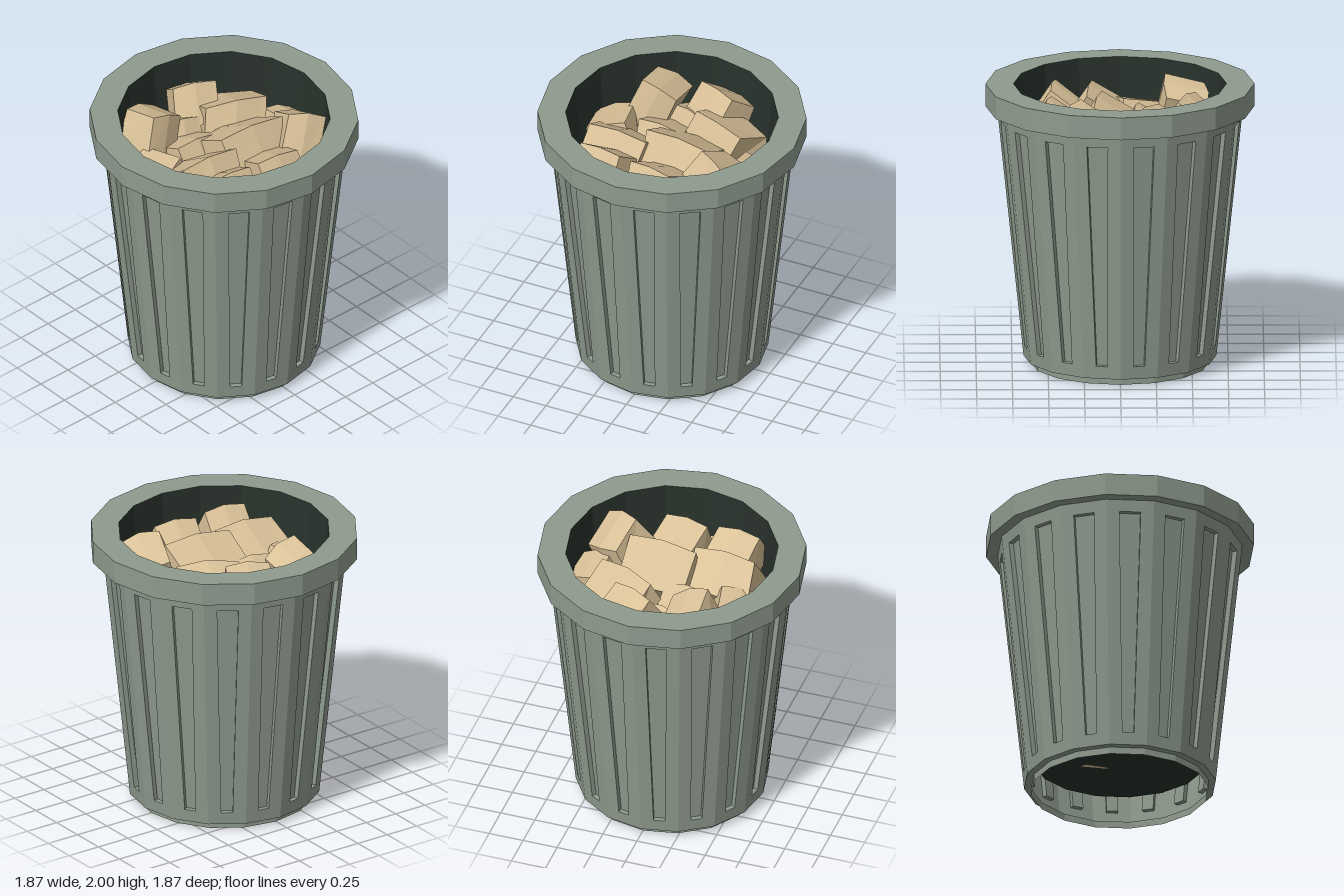
import * as THREE from 'three';

const SIDES = 16;
const STEP = (Math.PI * 2) / SIDES;

// Flat-shaded revolved profile with 16 sides
function faceted(name, points, material) {
  const geo = new THREE.LatheGeometry(points.map(([r, y]) => new THREE.Vector2(r, y)), SIDES).toNonIndexed();
  geo.computeVertexNormals();
  const mesh = new THREE.Mesh(geo, material);
  mesh.name = name;
  return mesh;
}

// Tapered wall: every side is a panel with a recessed, narrowing groove
function grooveWall(material) {
  const y0 = 0.05, y1 = 1.84, r0 = 0.67, r1 = 0.855;
  const g0 = 0.14, g1 = 1.755, depth = 0.035;
  const radius = (y) => r0 + ((r1 - r0) * (y - y0)) / (y1 - y0);
  const pos = [];
  const quad = (a, b, c, d) => [a, b, c, a, c, d].forEach((p) => pos.push(p.x, p.y, p.z));

  for (let i = 0; i < SIDES; i++) {
    const mid = (i + 0.5) * STEP;
    // s: sideways offset on the panel, inset: distance in from its surface
    const at = (s, y, inset = 0) => {
      const a = radius(y) * Math.cos(STEP / 2) - inset;
      return new THREE.Vector3(
        a * Math.sin(mid) + s * Math.cos(mid), y, a * Math.cos(mid) - s * Math.sin(mid));
    };
    const half = (y) => radius(y) * Math.sin(STEP / 2);
    const outer = [at(-half(y0), y0), at(half(y0), y0), at(half(y1), y1), at(-half(y1), y1)];
    const corners = [[-0.04, g0], [0.04, g0], [0.074, g1], [-0.074, g1]];
    const edge = corners.map(([s, y]) => at(s, y));
    const floor = corners.map(([s, y]) => at(s, y, depth));
    for (let k = 0; k < 4; k++) {
      const n = (k + 1) % 4;
      quad(outer[k], outer[n], edge[n], edge[k]);
      quad(edge[k], edge[n], floor[n], floor[k]);
    }
    quad(...floor);
  }
  const geo = new THREE.BufferGeometry();
  geo.setAttribute('position', new THREE.Float32BufferAttribute(pos, 3));
  geo.computeVertexNormals();
  const mesh = new THREE.Mesh(geo, material);
  mesh.name = 'groovedWall';
  return mesh;
}

// Rough block: a box with one mid crease and its corners nudged by a rule
function chunk([x, y, z, w, h, d, rx, ry, rz], seed, material) {
  const geo = new THREE.BoxGeometry(1, 1, 1, 2, 1, 1).toNonIndexed();
  const p = geo.attributes.position;
  const nudge = (a, b, c, k) => Math.sin(a * 12.3 + b * 27.1 + c * 41.7 + seed * 5.3 + k * 2.1);
  for (let i = 0; i < p.count; i++) {
    const a = p.getX(i), b = p.getY(i), c = p.getZ(i);
    const swell = Math.abs(a) < 0.1 ? 1.1 : 0.97;
    p.setXYZ(i,
      (a + 0.07 * nudge(a, b, c, 0)) * w,
      (b * swell + 0.07 * nudge(a, b, c, 1)) * h,
      (c * swell + 0.07 * nudge(a, b, c, 2)) * d);
  }
  geo.computeVertexNormals();
  const mesh = new THREE.Mesh(geo, material);
  mesh.name = 'chunk';
  mesh.position.set(x, y, z);
  mesh.rotation.set(rx, ry, rz, 'YXZ');
  return mesh;
}

// Top layer: x, y, z, width, height, depth, tilt, turn, roll
const CHUNKS = [
  [0.12, 1.7, 0.1, 0.5, 0.32, 0.32, -0.65, -0.12, 0],
  [-0.34, 1.68, 0.17, 0.45, 0.32, 0.32, -0.65, -0.1, 0],
  [0.28, 1.68, -0.27, 0.45, 0.3, 0.36, -0.4, -0.4, 0],
  [0.14, 1.76, -0.49, 0.32, 0.26, 0.26, -0.5, -0.4, 0],
  [-0.31, 1.74, -0.43, 0.28, 0.32, 0.28, -0.1, 0.1, -0.4],
  [-0.48, 1.6, -0.12, 0.28, 0.28, 0.28, -0.2, 0.25, 0.3],
  [-0.14, 1.6, -0.16, 0.32, 0.28, 0.26, -0.6, -0.1, 0],
  [-0.05, 1.6, -0.43, 0.25, 0.25, 0.28, -0.6, -0.3, 0],
  [0.56, 1.6, 0.01, 0.24, 0.28, 0.28, -0.2, -0.15, -0.3],
  [0.44, 1.74, 0.26, 0.28, 0.34, 0.32, -0.4, -0.35, -0.3],
  [-0.32, 1.72, 0.43, 0.32, 0.26, 0.26, -0.5, -0.1, 0],
  [0.09, 1.7, 0.45, 0.32, 0.26, 0.26, -0.5, -0.15, 0],
  [-0.1, 1.5, 0.57, 0.28, 0.26, 0.23, -0.2, 0.05, 0],
];

export function createModel() {
  const canGreen = new THREE.MeshStandardMaterial({ color: 0x8f9b8e });
  const darkInside = new THREE.MeshStandardMaterial({ color: 0x28312b });
  const tan = new THREE.MeshStandardMaterial({ color: 0xd8c097 });
  canGreen.name = 'greyGreen';
  darkInside.name = 'darkGreen';
  tan.name = 'tan';
  canGreen.side = darkInside.side = THREE.DoubleSide;

  const model = new THREE.Group();
  model.name = 'bin';

  // Shell: open foot ring, grooved wall, overhanging rim
  model.add(faceted('footRing', [[0.62, 0], [0.62, 0.05], [0.67, 0.05]], canGreen));
  model.add(grooveWall(canGreen));
  model.add(faceted('rim', [[0.855, 1.84], [0.935, 1.84], [0.935, 2], [0.74, 2]], canGreen));

  // Inner bucket with a raised floor
  model.add(faceted('innerBucket', [[0.74, 2], [0.6, 0.23], [0, 0.23]], darkInside));

  // Contents: visible top layer over a hidden core
  const pile = new THREE.Group();
  pile.name = 'contents';
  CHUNKS.forEach((c, i) => pile.add(chunk(c, i, tan)));
  for (let layer = 0; layer < 4; layer++) {
    for (let k = 0; k < 4; k++) {
      const a = k * Math.PI / 2 + layer * 0.5;
      pile.add(chunk([0.2 * Math.cos(a), 0.4 + layer * 0.29, 0.2 * Math.sin(a),
        0.32, 0.27, 0.28, 0.1, -a, 0.1], 20 + layer * 4 + k, tan));
    }
  }
  model.add(pile);
  return model;
}
